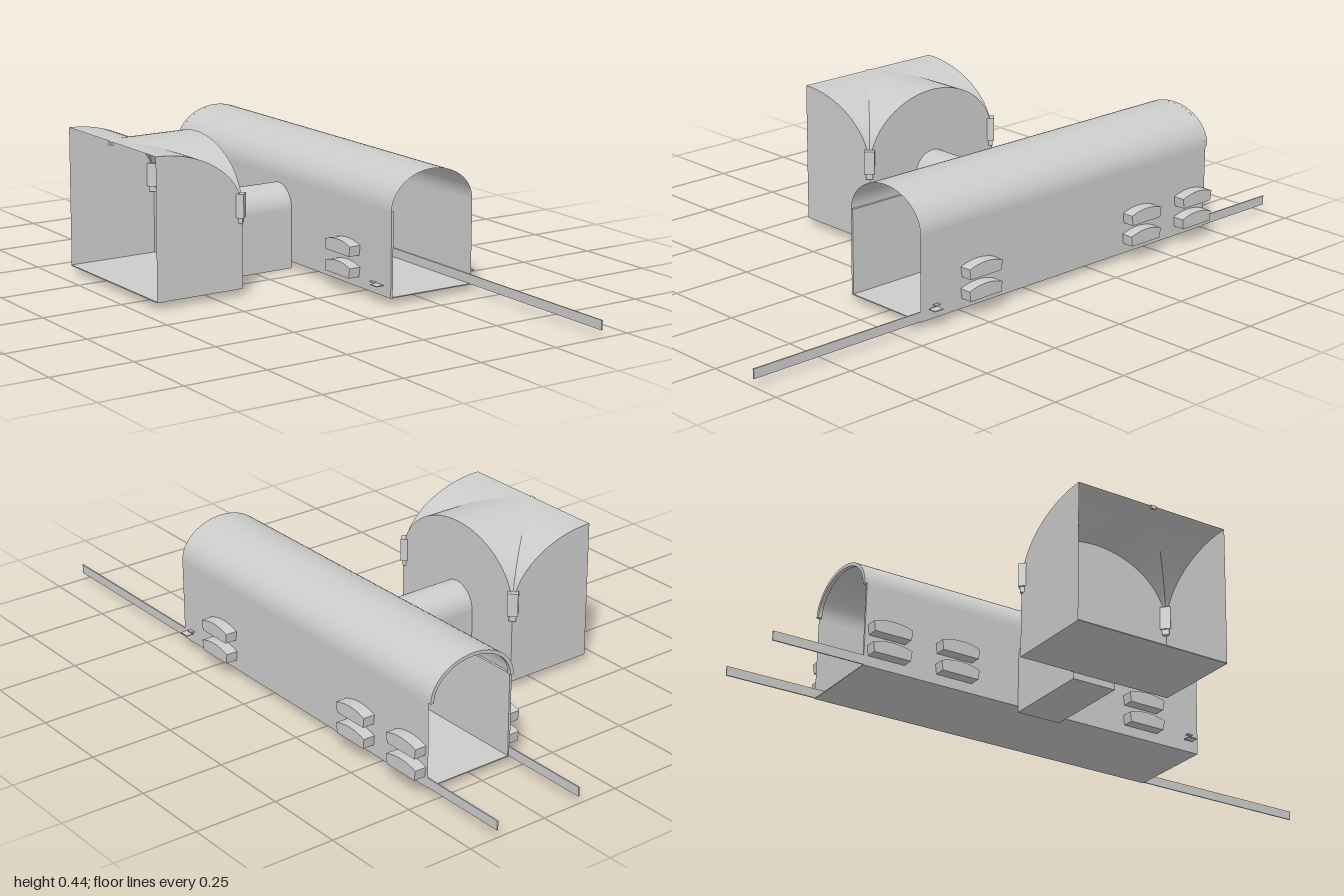
import * as THREE from 'three';
import { ParametricGeometry } from 'three/addons/geometries/ParametricGeometry.js';

const mat = new THREE.MeshStandardMaterial({ color: 0xcccccc, side: THREE.DoubleSide });

export function createModel() {
  const model = new THREE.Group();

  const add = (name, geo, parent = model) => {
    const mesh = new THREE.Mesh(geo, mat);
    mesh.name = name;
    parent.add(mesh);
    return mesh;
  };
  // Box given by its limits
  const box = (name, x0, x1, y0, y1, z0, z1, parent) =>
    add(name, new THREE.BoxGeometry(x1 - x0, y1 - y0, z1 - z0)
      .translate((x0 + x1) / 2, (y0 + y1) / 2, (z0 + z1) / 2), parent);
  // Thin smooth surface from a function of two parameters
  const surface = (name, fn, ns, nt, parent) => {
    const geo = new ParametricGeometry((s, t, p) => p.set(...fn(s, t)), ns, nt);
    geo.computeVertexNormals();
    return add(name, geo, parent);
  };
  const group = (name) => {
    const g = new THREE.Group();
    g.name = name;
    model.add(g);
    return g;
  };

  // Long hall, open at both ends, with a barrel roof
  const hall = group('hall');
  const cx = 0.27, r = 0.142, zBack = -0.72, zFront = 0.425, spring = 0.272;
  box('hallFloor', cx - r, cx + r, 0.02, 0.023, zBack, zFront, hall);
  box('hallLeftWall', cx - r, cx - r + 0.007, 0.02, spring, zBack, zFront, hall);
  surface('hallRightWall', (s, t) => [cx + r, 0.02 + s * (spring - 0.02), zBack + t * (zFront - zBack)], 1, 1, hall);
  surface('hallRoof', (s, t) => [
    cx + r * Math.cos(Math.PI * s),
    spring + 0.107 * Math.sin(Math.PI * s),
    zBack + t * (zFront - zBack)], 32, 1, hall);

  // Arched rim on the rear end of the roof
  const rim = new THREE.Shape();
  rim.absellipse(cx, spring, r, 0.107, 0, Math.PI, false);
  rim.absellipse(cx, spring, r - 0.011, 0.097, Math.PI, 0, true);
  add('roofRim', new THREE.ExtrudeGeometry(rim, { depth: 0.012, bevelEnabled: false, curveSegments: 24 })
    .translate(0, 0, zBack - 0.008), hall);

  // Low rails beside the hall
  box('longRail', cx + r - 0.004, cx + r, 0.022, 0.05, -1, 1);
  box('shortRail', cx - r, cx - r + 0.004, 0.022, 0.05, -1, zBack);

  // Side blocks with curved tops, two high on both sides of the hall
  const blockShape = new THREE.Shape();
  blockShape.moveTo(-0.058, 0);
  blockShape.lineTo(0.058, 0);
  blockShape.lineTo(0.062, 0.03);
  blockShape.quadraticCurveTo(0, 0.052, -0.062, 0.03);
  const blockGeo = new THREE.ExtrudeGeometry(blockShape, { depth: 0.036, bevelEnabled: false, curveSegments: 10 })
    .rotateY(Math.PI / 2);
  const blocks = group('sideBlocks');
  for (const x of [0.0905, 0.413]) {
    for (const z of [-0.65, -0.43, 0.215])
      for (const y of [0.05, 0.114])
        add('sideBlock', blockGeo, blocks).position.set(x, y, z);
    // Small loose fragments near the front
    box('fragmentPlate', x + 0.006, x + 0.03, 0.052, 0.055, 0.37, 0.4, blocks);
    box('fragmentBar', x + 0.006, x + 0.016, 0.06, 0.064, 0.365, 0.385, blocks);
  }

  // Connecting passage with a half-round roof
  const passage = new THREE.Shape();
  passage.moveTo(-0.07, 0);
  passage.lineTo(0.07, 0);
  passage.lineTo(0.07, 0.18);
  passage.absarc(0, 0.18, 0.07, 0, Math.PI, false);
  passage.closePath();
  add('passage', new THREE.ExtrudeGeometry(passage, { depth: 0.287, bevelEnabled: false, curveSegments: 24 })
    .rotateY(Math.PI / 2).translate(-0.16, 0, -0.145));

  // Side room, open on its outer side, under half of a groin vault
  const room = group('room');
  const x0 = -0.445, w = 0.285, zc = -0.1425, d = 0.2475, base = 0.02;
  const height = (u) => 0.248 + 0.19 * Math.sqrt(Math.max(0, 1 - u * u));
  const ease = (s) => Math.sin(s * Math.PI / 2);
  box('roomFloor', x0, x0 + w, base, base + 0.003, zc - d, zc + d, room);
  for (const side of [-1, 1]) {
    // Two vault patches meeting on the diagonal groin
    surface('vaultAcross', (s, t) => {
      const u = ease(s), v = u + (1 - u) * t;
      return [x0 + w * u, height(u), zc + side * d * v];
    }, 24, 4, room);
    surface('vaultAlong', (s, t) => {
      const v = ease(s), u = v + (1 - v) * t;
      return [x0 + w * u, height(v), zc + side * d * v];
    }, 24, 4, room);
    // Wall with a quarter-arch top
    surface('roomEndWall', (s, t) => {
      const u = ease(s);
      return [x0 + w * u, base + t * (height(u) - base), zc + side * d];
    }, 24, 1, room);
    // Half of the arched inner wall
    surface('roomInnerWall', (s, t) => {
      const v = ease(s);
      return [x0 + w, base + t * (height(v) - base), zc + side * d * v];
    }, 24, 1, room);
    // Corner lantern with a smaller foot
    const lantern = new THREE.Group();
    lantern.name = 'cornerLantern';
    lantern.position.set(-0.165, 0, zc + side * (d - 0.004));
    lantern.rotation.y = side * Math.PI / 4;
    box('lanternBody', -0.0155, 0.0155, 0.23, 0.3, -0.0125, 0.0125, lantern);
    box('lanternFoot', -0.01, 0.01, 0.213, 0.23, -0.008, 0.008, lantern);
    room.add(lantern);
  }
  box('crownKnob', -0.45, -0.442, 0.428, 0.438, zc - 0.008, zc + 0.008, room);

  return model;
}
